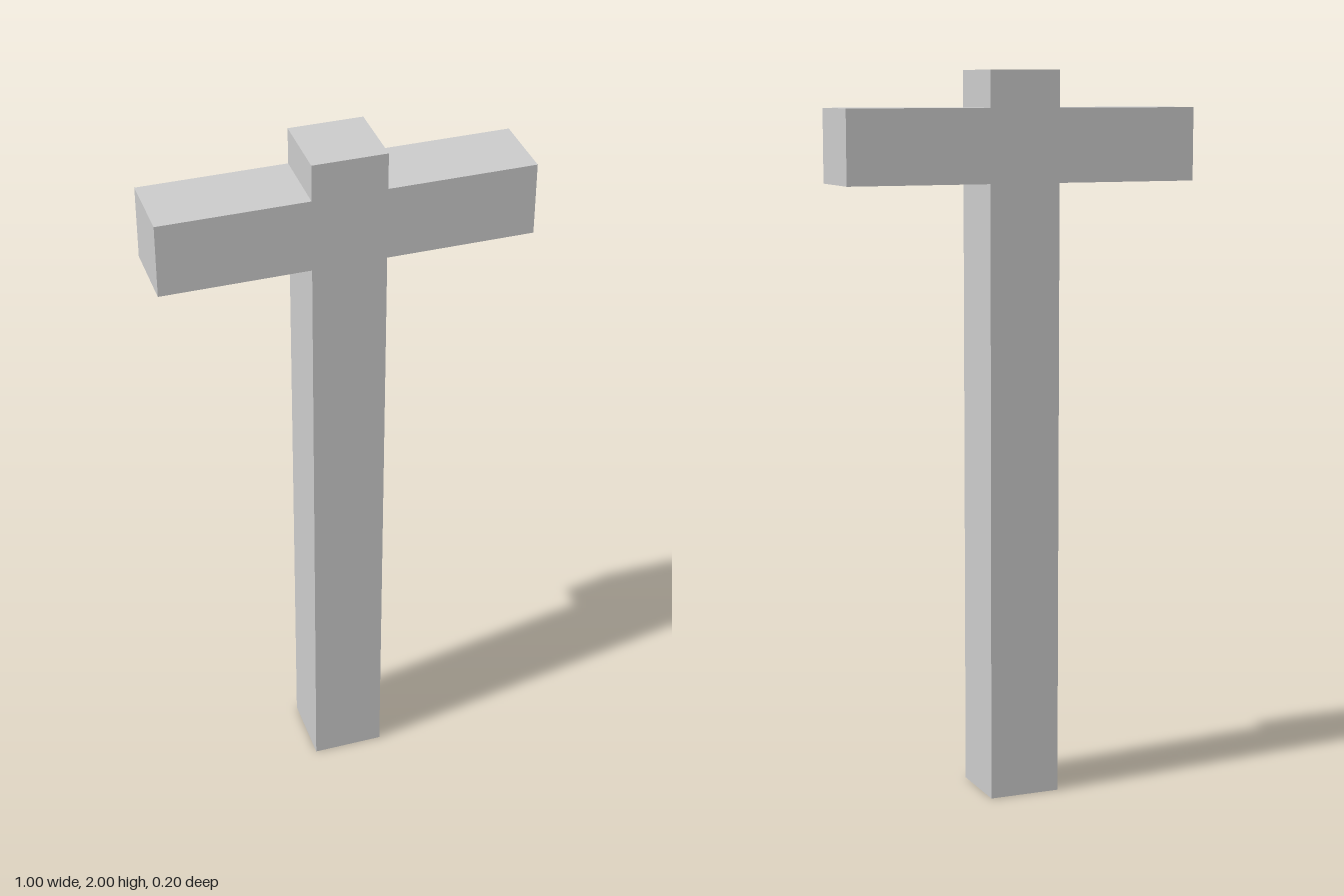
import * as THREE from 'three';

export function createModel() {
  const model = new THREE.Group();
  const material = new THREE.MeshStandardMaterial({ color: 0xcccccc, flatShading: true });

  const depth = 0.2;
  const postHalf = 0.1, armHalf = 0.5;
  const armBottom = 1.7, armTop = 1.9, height = 2;

  // Right half of the outline, bottom to top; the left half mirrors it
  const half = [
    [postHalf, 0], [postHalf, armBottom], [armHalf, armBottom],
    [armHalf, armTop], [postHalf, armTop], [postHalf, height],
  ];
  const mirrored = half.map(([x, y]) => [-x, y]).reverse();
  const outline = new THREE.Shape([...half, ...mirrored].map(([x, y]) => new THREE.Vector2(x, y)));

  // Post and crossbar as one solid with flush faces
  const geometry = new THREE.ExtrudeGeometry(outline, { depth, bevelEnabled: false });
  geometry.translate(0, 0, -depth / 2);

  const cross = new THREE.Mesh(geometry, material);
  cross.name = 'postAndCrossbar';
  model.add(cross);
  return model;
}
